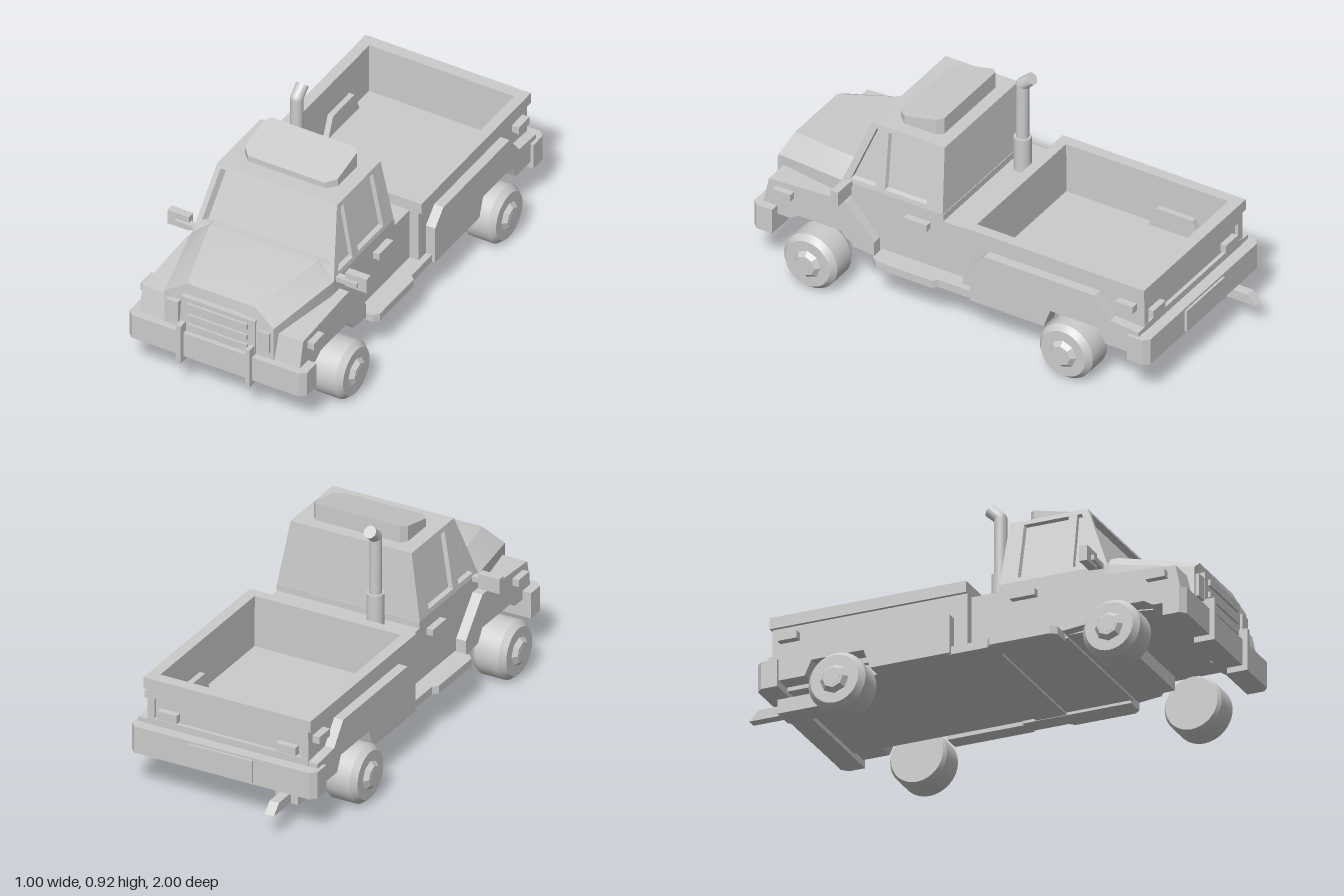
import * as THREE from 'three';
import { toCreasedNormals } from 'three/addons/utils/BufferGeometryUtils.js';

const material = new THREE.MeshStandardMaterial({ color: 0xcccccc });

export function createModel() {
  const truck = new THREE.Group();
  truck.name = 'pickupTruck';

  // Round parts shade smoothly, edges over about 20 degrees stay sharp
  const add = (name, geometry) => {
    const mesh = new THREE.Mesh(toCreasedNormals(geometry, 0.35), material);
    mesh.name = name;
    truck.add(mesh);
  };
  // Flip in x and reverse the corner order so faces stay outward
  const mirrored = (geometry) => {
    const g = geometry.index ? geometry.toNonIndexed() : geometry.clone();
    g.scale(-1, 1, 1);
    const p = g.attributes.position;
    const a = new THREE.Vector3(), b = new THREE.Vector3();
    for (let i = 0; i < p.count; i += 3) {
      a.fromBufferAttribute(p, i + 1);
      b.fromBufferAttribute(p, i + 2);
      p.setXYZ(i + 1, b.x, b.y, b.z);
      p.setXYZ(i + 2, a.x, a.y, a.z);
    }
    return g;
  };
  const pair = (name, geometry) => {
    add(name + 'Left', geometry);
    add(name + 'Right', mirrored(geometry));
  };
  const box = (x0, x1, y0, y1, z0, z1) =>
    new THREE.BoxGeometry(x1 - x0, y1 - y0, z1 - z0).translate((x0 + x1) / 2, (y0 + y1) / 2, (z0 + z1) / 2);
  const extrude = (points, depth) =>
    new THREE.ExtrudeGeometry(new THREE.Shape(points.map(([x, y]) => new THREE.Vector2(x, y))), { depth, bevelEnabled: false });
  // Side outline [z, y] extruded across x
  const sideShape = (points, x0, x1) =>
    extrude(points.map(([z, y]) => [-z, y]), x1 - x0).rotateY(Math.PI / 2).translate(x0, 0, 0);
  // Plan outline [x, z] extruded up y
  const planShape = (points, y0, y1) =>
    extrude(points.map(([x, z]) => [x, -z]), y1 - y0).rotateX(-Math.PI / 2).translate(0, y0, 0);
  // Skin between matching rings, closed at the last ring and optionally the first
  const loft = (rings, closeStart = false) => {
    const pos = [];
    const n = rings[0].length;
    const fan = (r) => { for (let i = 1; i < n - 1; i++) pos.push(...r[0], ...r[i], ...r[i + 1]); };
    for (let k = 0; k + 1 < rings.length; k++) {
      const a = rings[k], b = rings[k + 1];
      for (let i = 0; i < n; i++) {
        const j = (i + 1) % n;
        pos.push(...a[i], ...a[j], ...b[j], ...a[i], ...b[j], ...b[i]);
      }
    }
    fan(rings[rings.length - 1]);
    if (closeStart) fan([...rings[0]].reverse());
    const g = new THREE.BufferGeometry();
    g.setAttribute('position', new THREE.Float32BufferAttribute(pos, 3));
    return g;
  };
  // Framed window: rim, recess walls and set-back glass
  const windowPanel = (outer, hole, offset) => {
    const c = [0, 1, 2].map((k) => hole.reduce((s, p) => s + p[k], 0) / hole.length);
    const glass = hole.map((p) => p.map((v, k) => c[k] + (v - c[k]) * 0.95 + offset[k]));
    return loft([outer, hole, glass]);
  };

  // Wheels
  const tyre = new THREE.LatheGeometry(
    [[0, 0.328], [0.115, 0.328], [0.126, 0.345], [0.126, 0.452], [0.105, 0.478], [0, 0.478]]
      .map(([r, x]) => new THREE.Vector2(r, x)), 32).rotateZ(-Math.PI / 2);
  const hub = new THREE.CylinderGeometry(0.045, 0.064, 0.02, 8).rotateZ(-Math.PI / 2).translate(0.487, 0, 0);
  const cap = new THREE.CylinderGeometry(0.033, 0.033, 0.006, 8).rotateZ(-Math.PI / 2).translate(0.495, 0, 0);
  for (const [end, z] of [['front', 0.673], ['rear', -0.54]]) {
    pair(end + 'Tyre', tyre.clone().translate(0, 0.129, z));
    pair(end + 'Hub', hub.clone().translate(0, 0.129, z));
    pair(end + 'HubCap', cap.clone().translate(0, 0.129, z));
  }

  // Cab
  add('cabLower', box(-0.33, 0.33, 0.2, 0.48, 0.12, 0.6));
  const ring = (pts) => pts.map(([y, z]) => [0.33 - 0.172 * (y - 0.48), y, z]);
  pair('quarterWindow', windowPanel(
    ring([[0.48, 0.6], [0.48, 0.425], [0.77, 0.425], [0.77, 0.49]]),
    ring([[0.5, 0.56], [0.5, 0.445], [0.75, 0.445], [0.75, 0.465]]), [-0.018, 0, 0]));
  pair('doorWindow', windowPanel(
    ring([[0.48, 0.425], [0.48, 0.123], [0.77, 0.145], [0.77, 0.425]]),
    ring([[0.5, 0.4], [0.5, 0.202], [0.75, 0.21], [0.75, 0.408]]), [-0.018, 0, 0]));
  const screen = (x, y) => [x, y, 0.6 - 0.379 * (y - 0.48)];
  add('windscreen', windowPanel(
    [screen(-0.33, 0.48), screen(0.33, 0.48), screen(0.28, 0.77), screen(-0.28, 0.77)],
    [screen(-0.298, 0.535), screen(0.298, 0.535), screen(0.26, 0.755), screen(-0.26, 0.755)], [0, -0.008, -0.025]));
  add('cabBack', loft([[[0.33, 0.48, 0.123], [-0.33, 0.48, 0.123], [-0.28, 0.77, 0.145], [0.28, 0.77, 0.145]]]));
  add('roof', loft([[[-0.28, 0.77, 0.49], [0.28, 0.77, 0.49], [0.28, 0.77, 0.145], [-0.28, 0.77, 0.145]]]));
  pair('doorHandle', box(0.325, 0.36, 0.395, 0.425, 0.18, 0.29));

  // Wedge on the roof
  const wedge = [[-0.18, 0.415], [0.18, 0.415], [0.217, 0.375], [0.217, 0.225], [0.195, 0.2], [-0.195, 0.2], [-0.217, 0.225], [-0.217, 0.375]];
  add('roofFairing', loft([
    wedge.map(([x, z]) => [x, 0.769, z]),
    wedge.map(([x, z]) => [x, 0.797 + (0.415 - z) * 0.225, z])]));

  // Wipers sit just behind the windscreen glass
  const bar = (name, x0, y0, x1, y1) => add(name,
    new THREE.BoxGeometry(Math.hypot(x1 - x0, y1 - y0), 0.018, 0.008)
      .rotateZ(Math.atan2(y1 - y0, x1 - x0))
      .translate((x0 + x1) / 2, (y0 + y1) / 2 - 0.48, -0.034)
      .scale(1, 1.07, 1).rotateX(-0.363).translate(0, 0.48, 0.6));
  for (const x of [0, 0.272]) {
    bar('wiperBlade', -0.235 + x, 0.69, -0.065 + x, 0.605);
    bar('wiperArm', -0.155 + x, 0.563, -0.12 + x, 0.625);
  }

  // Hood with bevelled shoulders
  const hoodRear = (z) => [[-0.33, 0.26, z], [0.33, 0.26, z], [0.33, 0.478, z], [0.245, 0.543, z], [-0.245, 0.543, z], [-0.33, 0.478, z]];
  add('hood', loft([hoodRear(0.57), hoodRear(0.612),
    [[-0.255, 0.26, 0.95], [0.255, 0.26, 0.95], [0.255, 0.435, 0.95], [0.16, 0.495, 0.93], [-0.16, 0.495, 0.93], [-0.255, 0.435, 0.95]],
  ], true));
  add('grilleFrame', box(-0.172, 0.172, 0.28, 0.445, 0.93, 0.958));
  for (const y of [0.31, 0.358, 0.411]) add('grilleSlat', box(-0.14, 0.14, y - 0.013, y + 0.013, 0.94, 0.968));
  pair('headlight', box(0.185, 0.24, 0.312, 0.41, 0.93, 0.963));

  // Front fenders
  pair('frontFender', sideShape([[0.92, 0.24], [0.945, 0.28], [0.92, 0.397], [0.6, 0.415], [0.555, 0.415], [0.42, 0.265],
    [0.42, 0.2], [0.52, 0.21], [0.555, 0.265], [0.78, 0.265], [0.82, 0.24]], 0.25, 0.375));
  pair('turnSignal', box(0.37, 0.405, 0.343, 0.375, 0.8, 0.885));

  // Door mirrors
  pair('mirror', box(0.365, 0.465, 0.45, 0.517, 0.535, 0.57));
  pair('mirrorArm', box(0.31, 0.425, 0.466, 0.488, 0.55, 0.582));

  // Bumpers
  add('frontBumper', planShape([[-0.415, 0.88], [-0.415, 0.955], [-0.39, 0.978], [0.39, 0.978], [0.415, 0.955], [0.415, 0.88]], 0.165, 0.28));
  pair('bumperGuard', box(0.15, 0.171, 0.14, 0.325, 0.91, 1.0));
  add('rearBumper', planShape([[-0.43, -0.815], [-0.43, -0.885], [-0.405, -0.91], [0.405, -0.91], [0.43, -0.885], [0.43, -0.815]], 0.17, 0.29));
  add('rearPlate', box(-0.145, 0.145, 0.18, 0.28, -0.92, -0.9));

  // Floor and running boards
  add('floorPan', box(-0.325, 0.325, 0.19, 0.25, -0.83, 0.42));
  pair('runningBoard', planShape([[0.32, 0.41], [0.4, 0.41], [0.42, 0.385], [0.42, 0.12], [0.4, 0.1], [0.4, -0.07], [0.32, -0.07]], 0.178, 0.213));
  add('cabRearDeck', box(-0.33, 0.33, 0.18, 0.45, -0.01, 0.125));

  // Cargo bed
  pair('bedSide', sideShape([[0, 0.18], [0, 0.47], [-0.86, 0.47], [-0.86, 0.2], [-0.7, 0.2], [-0.67, 0.265],
    [-0.44, 0.265], [-0.41, 0.18]], 0.34, 0.372));
  pair('bedRail', box(0.338, 0.386, 0.45, 0.5, -0.862, 0));
  pair('bedFlare', sideShape([[-0.06, 0.18], [-0.06, 0.35], [-0.125, 0.415], [-0.65, 0.415], [-0.725, 0.32], [-0.86, 0.31],
    [-0.86, 0.2], [-0.7, 0.2], [-0.67, 0.265], [-0.44, 0.265], [-0.41, 0.18]], 0.365, 0.415));
  pair('wheelHousing', sideShape([[-0.45, 0.265], [-0.49, 0.36], [-0.66, 0.36], [-0.7, 0.265]], 0.315, 0.345));
  add('bedFloor', box(-0.345, 0.345, 0.24, 0.27, -0.83, -0.02));
  add('bedFrontWall', box(-0.345, 0.345, 0.2, 0.5, -0.045, 0));
  // Tailgate with a recessed band that holds the lamps
  add('tailgate', box(-0.36, 0.36, 0.2, 0.47, -0.845, -0.815));
  add('tailgateLower', box(-0.372, 0.372, 0.2, 0.32, -0.862, -0.84));
  add('tailgateUpper', box(-0.372, 0.372, 0.41, 0.455, -0.862, -0.84));
  add('tailgateRail', box(-0.386, 0.386, 0.45, 0.5, -0.868, -0.815));
  pair('tailLight', box(0.23, 0.32, 0.328, 0.365, -0.872, -0.84));
  pair('sideMarker', box(0.365, 0.405, 0.382, 0.415, -0.825, -0.74));

  // Exhaust stack with an angled tip
  const pipe = (name, r, a, b) => {
    const from = new THREE.Vector3(...a), dir = new THREE.Vector3(...b).sub(from);
    const turn = new THREE.Quaternion().setFromUnitVectors(new THREE.Vector3(0, 1, 0), dir.clone().normalize());
    add(name, new THREE.CylinderGeometry(r, r, dir.length(), 24).applyQuaternion(turn).translate(...from.addScaledVector(dir, 0.5).toArray()));
  };
  pipe('stackBase', 0.037, [-0.165, 0.44, 0.053], [-0.165, 0.605, 0.053]);
  pipe('stackPipe', 0.027, [-0.165, 0.6, 0.053], [-0.165, 0.86, 0.053]);
  add('stackElbow', new THREE.SphereGeometry(0.027, 24, 12).translate(-0.165, 0.86, 0.053));
  pipe('stackTip', 0.027, [-0.165, 0.86, 0.053], [-0.165, 0.9, 0.008]);

  // Muffler and tailpipe
  add('muffler', box(-0.325, -0.22, 0.1, 0.162, -0.86, -0.62));
  add('tailpipe', sideShape([[-0.85, 0.105], [-1, 0.105], [-0.96, 0.148], [-0.85, 0.148]], -0.293, -0.25));

  return truck;
}
